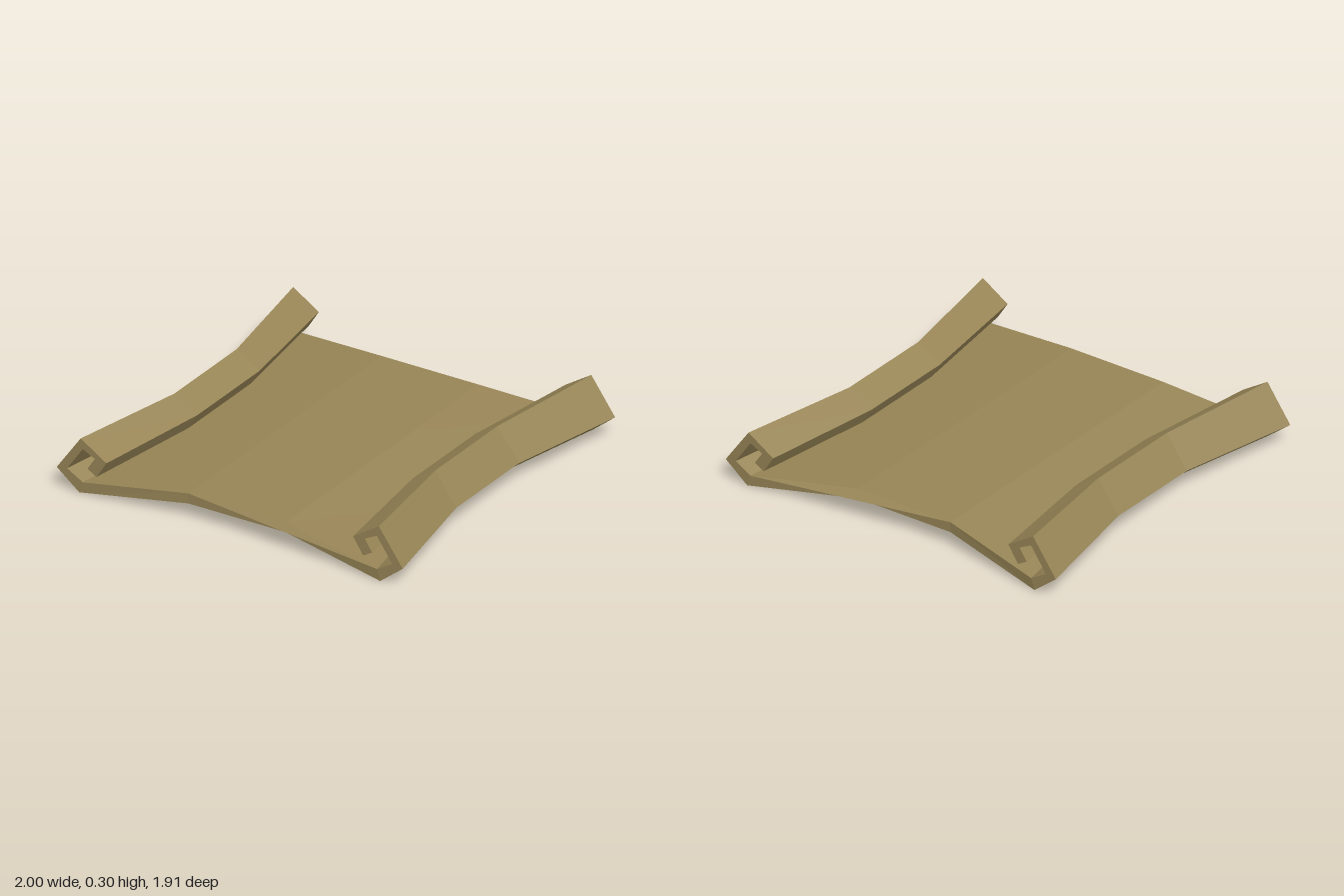
import * as THREE from 'three';

// Right half of the cross-section, anticlockwise: underside, curled rail, upper side
const END = [
  [0.28, 0.075], [0.87, 0], [1, 0.103], [0.862, 0.297], [0.713, 0.202], [0.77, 0.112],
  [0.823, 0.142], [0.78, 0.207], [0.85, 0.242], [0.94, 0.112], [0.85, 0.06], [0.28, 0.13],
];
const MIDDLE = [
  [0.28, 0.075], [0.757, 0.017], [0.876, 0.11], [0.754, 0.28], [0.622, 0.198], [0.675, 0.112],
  [0.725, 0.14], [0.685, 0.203], [0.747, 0.23], [0.82, 0.118], [0.737, 0.073], [0.28, 0.13],
];
const LENGTH = 0.955; // half length at the rails

// Full section: right half, then its mirror image in reverse
const mirror = (half) => [...half, ...half.map(([x, y]) => [-x, y]).reverse()];

export function createModel() {
  const group = new THREE.Group();
  const end = mirror(END), middle = mirror(MIDDLE);
  const n = end.length;

  // The central panel is cut back at both ends
  const stations = [
    { points: end, z: -LENGTH, panelZ: -0.845 },
    { points: middle, z: -0.28, panelZ: -0.28 },
    { points: middle, z: 0.28, panelZ: 0.28 },
    { points: end, z: LENGTH, panelZ: 0.89 },
  ];
  const positions = [], index = [];
  for (const { points, z, panelZ } of stations) {
    for (const [x, y] of points) positions.push(x, y, Math.abs(x) < 0.3 ? panelZ : z);
  }

  // Skin between neighbouring sections
  for (let s = 0; s < stations.length - 1; s++) {
    for (let i = 0; i < n; i++) {
      const a = s * n + i, b = s * n + (i + 1) % n;
      index.push(a, b, b + n, a, b + n, a + n);
    }
  }

  // End faces
  const outline = end.map(([x, y]) => new THREE.Vector2(x, y));
  const last = (stations.length - 1) * n;
  for (const [a, b, c] of THREE.ShapeUtils.triangulateShape(outline, [])) {
    index.push(last + a, last + b, last + c, c, b, a);
  }

  const geometry = new THREE.BufferGeometry();
  geometry.setAttribute('position', new THREE.Float32BufferAttribute(positions, 3));
  geometry.setIndex(index);
  geometry.computeVertexNormals();

  const material = new THREE.MeshStandardMaterial({ color: 0x978556, flatShading: true });
  const plate = new THREE.Mesh(geometry, material);
  plate.name = 'plateWithCurledRails';
  group.add(plate);
  return group;
}
